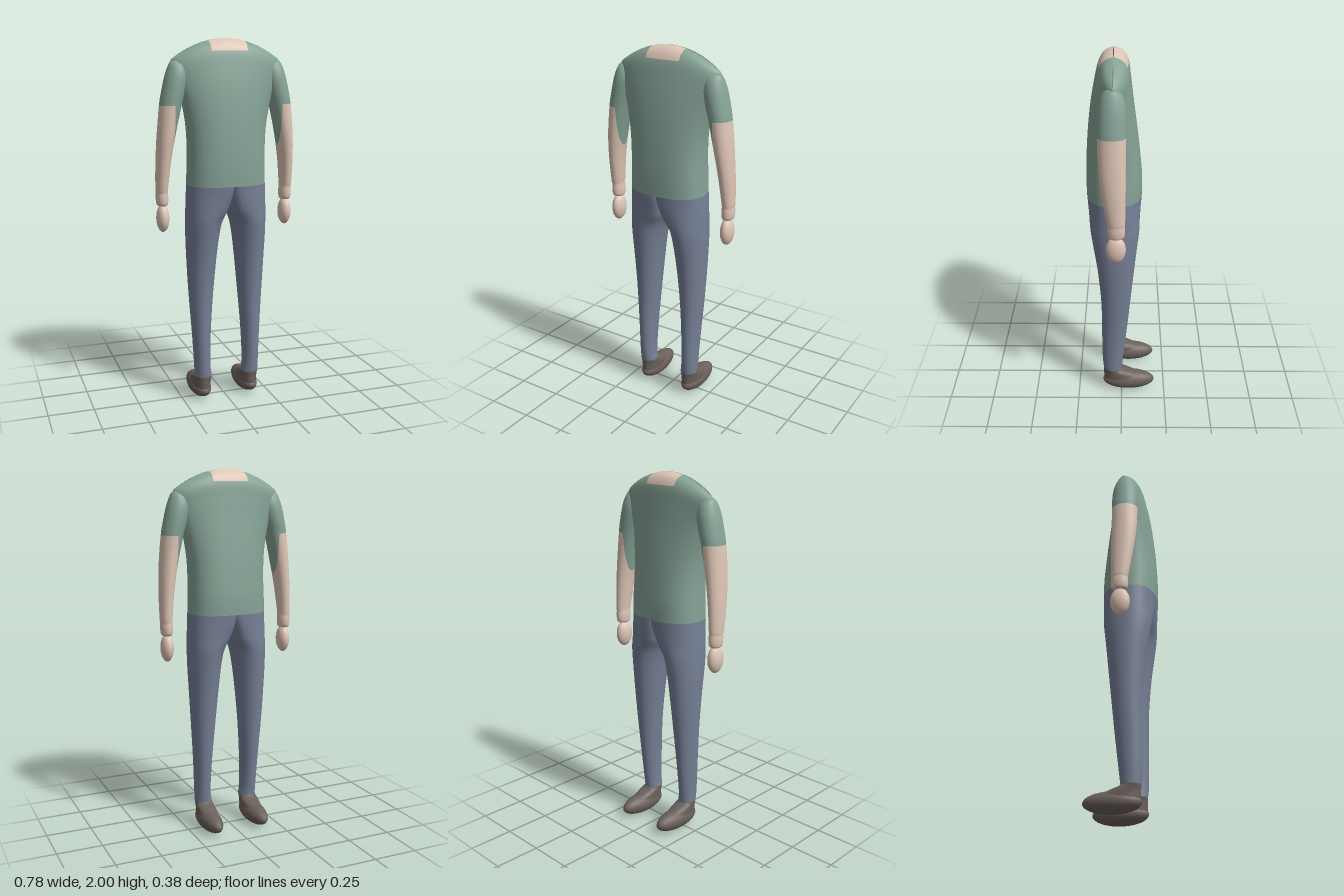
import * as THREE from 'three';

const SEG = 32;
const mat = (name, color) => {
  const m = new THREE.MeshStandardMaterial({ color, side: THREE.DoubleSide });
  m.name = name;
  return m;
};
const lerp = THREE.MathUtils.lerp;
const pw = (v, p) => Math.sign(v) * Math.pow(Math.abs(v), p);

// Smoothly subdivides a table of cross-section parameters
function refine(rows, n = 4) {
  const out = [];
  const at = i => rows[Math.max(0, Math.min(rows.length - 1, i))];
  for (let i = 0; i < rows.length - 1; i++) {
    for (let k = 0; k < n; k++) {
      const t = k / n;
      out.push(rows[i].map((b, c) => {
        const a = at(i - 1)[c], d = at(i + 1)[c], e = at(i + 2)[c];
        return b + 0.5 * t * (d - a + t * (2 * a - 5 * b + 4 * d - e + t * (3 * (b - d) + e - a)));
      }));
    }
  }
  out.push(rows[rows.length - 1]);
  return out;
}

// Skins rings listed from bottom to top; side -1 mirrors the part
function loft(rows, point, side = 1, capBottom = false, capTop = false) {
  const pos = [], idx = [];
  const tri = (a, b, c) => (side > 0 ? idx.push(a, b, c) : idx.push(a, c, b));
  for (const row of rows) {
    for (let i = 0; i < SEG; i++) {
      const [x, y, z] = point(row, i / SEG * Math.PI * 2);
      pos.push(x * side, y, z);
    }
  }
  for (let r = 0; r < rows.length - 1; r++) {
    for (let i = 0; i < SEG; i++) {
      const a = r * SEG + i, b = r * SEG + (i + 1) % SEG, c = a + SEG, d = b + SEG;
      // faces lying on the middle plane are inside the body
      if ([a, b, c, d].every(v => Math.abs(pos[v * 3]) < 1e-4)) continue;
      tri(a, c, b);
      tri(b, c, d);
    }
  }
  const cap = (r, top) => {
    const centre = [0, 0, 0];
    for (let i = 0; i < SEG; i++) for (let k = 0; k < 3; k++) centre[k] += pos[(r * SEG + i) * 3 + k] / SEG;
    const c = pos.push(...centre) / 3 - 1;
    for (let i = 0; i < SEG; i++) {
      const a = r * SEG + i, b = r * SEG + (i + 1) % SEG;
      top ? tri(a, c, b) : tri(a, b, c);
    }
  };
  if (capBottom) cap(0, false);
  if (capTop) cap(rows.length - 1, true);
  const g = new THREE.BufferGeometry();
  g.setAttribute('position', new THREE.Float32BufferAttribute(pos, 3));
  g.setIndex(idx);
  g.computeVertexNormals();
  return g;
}

// Triangles as lists of [x, y, z, nx, ny, nz] corners, so they can be cut
function toTriangles(g) {
  const p = g.attributes.position.array, n = g.attributes.normal.array, out = [];
  for (let i = 0; i < g.index.count; i += 3) {
    out.push([0, 1, 2].map(k => {
      const v = g.index.array[i + k] * 3;
      return [p[v], p[v + 1], p[v + 2], n[v], n[v + 1], n[v + 2]];
    }));
  }
  return out;
}

function clip(tris, axis, value, sign) {
  const out = [];
  for (const t of tris) {
    const poly = [];
    t.forEach((a, i) => {
      const b = t[(i + 1) % 3];
      const da = (a[axis] - value) * sign, db = (b[axis] - value) * sign;
      if (da >= 0) poly.push(a);
      if ((da >= 0) !== (db >= 0)) poly.push(a.map((v, k) => lerp(v, b[k], da / (da - db))));
    });
    for (let i = 1; i < poly.length - 1; i++) out.push([poly[0], poly[i], poly[i + 1]]);
  }
  return out;
}

function fromTriangles(tris) {
  const g = new THREE.BufferGeometry(), v = tris.flat();
  g.setAttribute('position', new THREE.Float32BufferAttribute(v.flatMap(a => a.slice(0, 3)), 3));
  g.setAttribute('normal', new THREE.Float32BufferAttribute(v.flatMap(a => a.slice(3)), 3));
  return g;
}

export function createModel() {
  const model = new THREE.Group();
  const shirt = mat('shirt green', 0x86a396);
  const skin = mat('skin', 0xdfc6b6);
  const denim = mat('trouser blue', 0x768096);
  const leather = mat('shoe brown', 0x6b605a);
  const add = (name, geometry, material) => {
    const m = new THREE.Mesh(geometry, material);
    m.name = name;
    model.add(m);
    return m;
  };

  // Torso: y, half width, z centre, half depth, roundness, shoulder slope
  const torsoRows = refine([
    [1.23, 0.215, 0.039, 0.148, 0.8, 0],
    [1.32, 0.213, 0.04, 0.149, 0.8, 0],
    [1.42, 0.212, 0.043, 0.144, 0.82, 0],
    [1.54, 0.22, 0.046, 0.134, 0.85, 0],
    [1.65, 0.24, 0.048, 0.122, 0.9, 0],
    [1.75, 0.265, 0.048, 0.109, 0.95, 0.2],
    [1.85, 0.288, 0.045, 0.094, 0.95, 0.65],
    [1.93, 0.298, 0.041, 0.079, 0.9, 1],
    [1.975, 0.3, 0.04, 0.055, 0.85, 1.15],
    [1.994, 0.3, 0.04, 0.026, 0.85, 1.2],
    [2.0, 0.298, 0.04, 0.002, 0.85, 1.22]
  ]);
  const torso = toTriangles(loft(torsoRows, ([y, w, zc, d, p, slope], a) => {
    const x = w * pw(Math.cos(a), p);
    return [x, y - slope * x * x, zc + d * pw(Math.sin(a), p)];
  }));
  const upper = clip(torso, 1, 1.935, 1);
  const middle = clip(clip(upper, 0, -0.1, 1), 0, 0.1, -1);
  add('neckPatch', fromTriangles(middle), skin);
  add('shirtBody', fromTriangles([
    ...clip(torso, 1, 1.935, -1), ...clip(upper, 0, -0.1, -1), ...clip(upper, 0, 0.1, 1)
  ]), shirt);

  // Leg: y, inner x, outer x, z min, z max
  const legRows = refine([
    [0.145, 0.09, 0.186, 0, 0.104],
    [0.22, 0.098, 0.188, -0.008, 0.11],
    [0.4, 0.093, 0.196, -0.028, 0.112],
    [0.6, 0.078, 0.209, -0.048, 0.114],
    [0.8, 0.06, 0.219, -0.068, 0.131],
    [0.95, 0.043, 0.224, -0.084, 0.153],
    [1.04, 0.024, 0.224, -0.095, 0.167],
    [1.1, 0, 0.222, -0.1, 0.175],
    [1.16, 0, 0.219, -0.105, 0.181],
    [1.23, 0, 0.215, -0.109, 0.187]
  ]);
  // The leg's oval turns into half of the hip outline towards the waist
  const legPoint = ([y, x0, x1, z0, z1], a) => {
    const t = THREE.MathUtils.smoothstep(1.23 - y, 0, 0.22);
    const zc = (z0 + z1) / 2, d = (z1 - z0) / 2, in0 = Math.max(0, x0);
    const s = a > Math.PI ? a - 2 * Math.PI : a;
    const corner = Math.PI * 2 / 3;
    let hx = 0, hz;
    if (Math.abs(s) < corner) {
      hx = x1 * Math.pow(Math.max(0, Math.cos(s * 0.75)), 0.8);
      hz = d * pw(Math.sin(s * 0.75), 0.8);
    } else hz = d * Math.sign(s) * (Math.PI - Math.abs(s)) / (Math.PI - corner);
    const lx = (in0 + x1) / 2 + (x1 - in0) / 2 * Math.cos(s);
    return [lerp(hx, lx, t), y, zc + lerp(hz, d * Math.sin(s), t)];
  };
  const oval = ([y, x0, x1, z0, z1], a) => [
    (x0 + x1) / 2 + (x1 - x0) / 2 * Math.cos(a), y, (z0 + z1) / 2 + (z1 - z0) / 2 * Math.sin(a)
  ];

  const ankleRows = refine([
    [0.05, 0.085, 0.192, -0.13, 0.1],
    [0.095, 0.086, 0.19, -0.105, 0.103],
    [0.12, 0.088, 0.188, -0.058, 0.103],
    [0.135, 0.09, 0.186, -0.015, 0.104],
    [0.145, 0.09, 0.186, 0, 0.104]
  ]);

  const armRows = refine([
    [1.122, 0.335, 0.372, 0.005, 0.045],
    [1.132, 0.324, 0.383, -0.015, 0.066],
    [1.165, 0.321, 0.387, -0.02, 0.071],
    [1.195, 0.323, 0.386, -0.018, 0.07],
    [1.22, 0.322, 0.388, -0.02, 0.075],
    [1.36, 0.308, 0.387, -0.022, 0.098],
    [1.5, 0.284, 0.38, -0.022, 0.114],
    [1.65, 0.25, 0.366, -0.024, 0.118],
    [1.72, 0.23, 0.354, -0.026, 0.118],
    [1.8, 0.212, 0.336, -0.022, 0.113],
    [1.855, 0.222, 0.317, -0.004, 0.096],
    [1.88, 0.25, 0.304, 0.02, 0.07]
  ]);

  for (const [side, label] of [[1, 'left'], [-1, 'right']]) {
    add(label + 'TrouserLeg', loft(legRows, legPoint, side), denim);

    // Shoe: ankle with instep, and a tapered rounded foot
    add(label + 'ShoeAnkle', loft(ankleRows, oval, side), leather);
    const foot = new THREE.SphereGeometry(1, 24, 16);
    const p = foot.attributes.position;
    for (let i = 0; i < p.count; i++) {
      const z = p.getZ(i);
      p.setXYZ(i, p.getX(i) * 0.059 * (1 + 0.08 * z), p.getY(i) * 0.057, z * 0.15);
    }
    foot.computeVertexNormals();
    add(label + 'ShoeFoot', foot, leather).position.set(side * 0.139, 0.059, -0.041);

    // Arm: the sleeve reaches further down on the inner side
    const arm = toTriangles(loft(armRows, oval, side, true, true));
    const lower = clip(arm, 1, 1.655, -1);
    const forearm = [...clip(lower, 0, side * 0.297, side)];
    const inner = clip(lower, 0, side * 0.297, -side);
    add(label + 'Sleeve', fromTriangles([...clip(arm, 1, 1.655, 1), ...inner]), shirt);
    add(label + 'Forearm', fromTriangles(forearm), skin);

    const hand = add(label + 'Hand', new THREE.SphereGeometry(1, 24, 16), skin);
    hand.scale.set(0.034, 0.075, 0.052);
    hand.position.set(side * 0.352, 1.056, 0.028);
  }
  return model;
}
